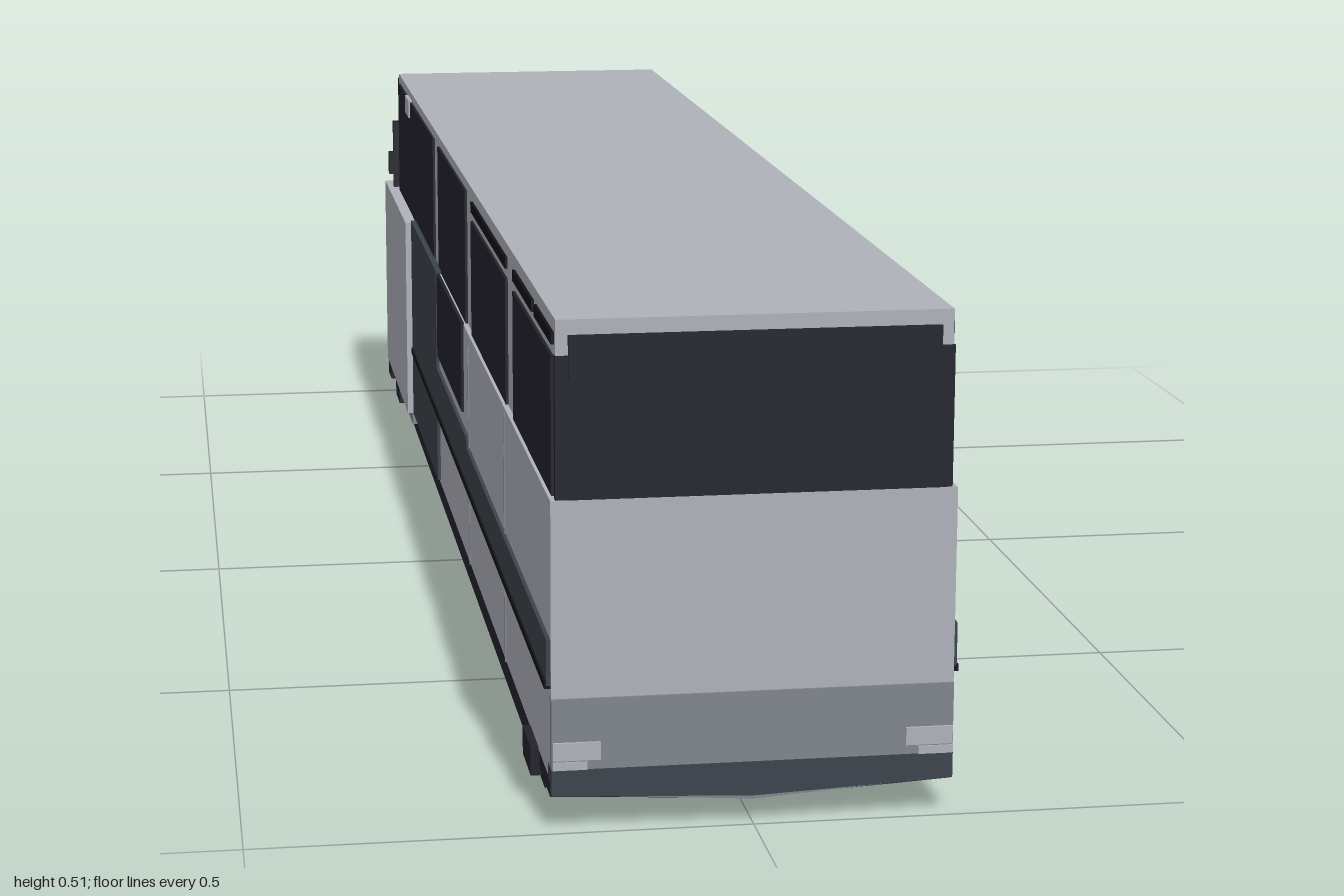
import * as THREE from 'three';

const mat = (name, color) => {
  const m = new THREE.MeshStandardMaterial({ color });
  m.name = name;
  return m;
};

export function createModel() {
  const root = new THREE.Group();
  root.name = 'coach';
  const silver = mat('silver', 0xaeb1b9);
  const glass = mat('darkGlass', 0x22222c);
  const slate = mat('slate', 0x3c434c);
  const grey = mat('midGrey', 0x80848d);
  const black = mat('black', 0x121217);

  // Box given by its limits on each axis
  const box = (name, m, x0, x1, y0, y1, z0, z1) => {
    const g = new THREE.BoxGeometry(x1 - x0, y1 - y0, z1 - z0);
    const mesh = new THREE.Mesh(g, m);
    mesh.position.set((x0 + x1) / 2, (y0 + y1) / 2, (z0 + z1) / 2);
    mesh.name = name;
    root.add(mesh);
    return mesh;
  };
  // Same box on both sides
  const pair = (name, m, x0, x1, ...r) => {
    box(name + 'Left', m, x0, x1, ...r);
    box(name + 'Right', m, -x1, -x0, ...r);
  };

  // Main body and roof
  box('lowerBody', silver, -0.2, 0.2, 0.05, 0.334, -0.98, 0.99);
  box('upperBody', silver, -0.194, 0.194, 0.334, 0.51, -0.92, 0.99);

  // Rear engine cover and the dark rear cabin
  box('rearCover', silver, -0.212, 0.212, 0.055, 0.335, -0.995, -0.6);
  box('rearCabin', glass, -0.19, 0.19, 0.335, 0.495, -0.995, -0.935);
  box('rearGap', silver, -0.188, 0.188, 0.335, 0.49, -0.935, -0.92);
  pair('rearVent', glass, 0.19, 0.203, 0.335, 0.435, -0.945, -0.93);
  pair('rearVentCap', glass, 0.198, 0.21, 0.355, 0.388, -0.945, -0.93);

  // Side windows: front z, rear z, bottom, top
  for (const [z1, z0, y0, y1] of [
    [0.978, 0.65, 0.335, 0.473], [0.58, 0.205, 0.335, 0.473],
    [0.135, -0.235, 0.335, 0.498], [-0.305, -0.9, 0.335, 0.498],
  ]) pair('sideWindow', glass, 0.193, 0.197, y0, y1, z0, z1);
  pair('doorWindow', glass, 0.199, 0.203, 0.225, 0.335, -0.235, 0.135);

  // Gutter slots above the windows
  for (const [z1, z0] of [[0.98, 0.84], [0.82, 0.65], [0.58, 0.205]])
    pair('gutterSlot', black, 0.193, 0.197, 0.484, 0.496, z0, z1);
  pair('windowTab', silver, 0.194, 0.199, 0.475, 0.5, -0.745, -0.68);

  // Side stripe and the slate panel
  pair('frontStripe', slate, 0.199, 0.204, 0.148, 0.195, 0.2, 0.99);
  pair('middleStripe', slate, 0.199, 0.204, 0.142, 0.207, -0.2, 0.2);
  pair('stripeLine', black, 0.2, 0.206, 0.145, 0.152, -0.6, 0.99);
  pair('slatePanel', slate, 0.196, 0.204, 0.055, 0.338, -0.6, -0.2);
  for (const z of [0.2, 0.595]) pair('panelSeam', grey, 0.199, 0.2015, 0.05, 0.33, z - 0.002, z + 0.002);

  // Windscreen
  box('windscreen', glass, -0.182, 0.182, 0.334, 0.495, 0.985, 0.994);
  box('windscreenWide', glass, -0.195, 0.195, 0.334, 0.475, 0.984, 0.993);

  // Front apron and headlights
  box('frontFace', silver, -0.2, 0.2, 0.13, 0.334, 0.985, 0.995);
  box('frontApron', grey, -0.2, 0.2, 0.064, 0.136, 0.985, 0.997);
  pair('headlight', silver, 0.152, 0.199, 0.074, 0.092, 0.99, 1);
  pair('lowerLamp', silver, 0.165, 0.199, 0.064, 0.072, 0.99, 0.999);

  // Bumper layers whose lower edge dips at the centre
  const bumper = (name, m, top, side, mid, half, z0, z1) => {
    const s = new THREE.Shape();
    s.moveTo(-half, top);
    s.lineTo(-half, side);
    s.lineTo(0, mid);
    s.lineTo(half, side);
    s.lineTo(half, top);
    const g = new THREE.ExtrudeGeometry(s, { depth: z1 - z0, bevelEnabled: false });
    const mesh = new THREE.Mesh(g, m);
    mesh.position.z = z0;
    mesh.name = name;
    root.add(mesh);
  };
  bumper('frontBumper', slate, 0.064, 0.038, 0.029, 0.2, 0.97, 0.998);
  bumper('bumperTrim', grey, 0.045, 0.036, 0.025, 0.16, 0.97, 0.996);
  bumper('frontLip', glass, 0.05, 0.033, 0.022, 0.2, 0.9, 0.985);
  bumper('rearLip', glass, 0.055, 0.04, 0.03, 0.208, -0.998, -0.9);

  // Underframe, shallow at the ends
  box('underframe', glass, -0.195, 0.195, 0.012, 0.052, -0.89, 0.9);
  box('underTray', glass, -0.185, 0.185, 0.0, 0.013, -0.88, 0.88);
  pair('rearSill', grey, 0.195, 0.205, 0.038, 0.056, -0.96, -0.6);
  for (const z of [0.855, -0.845]) {
    pair('wheelBlock', glass, 0.19, 0.208, 0.022, 0.052, z - 0.035, z + 0.035);
  }
  pair('cornerFoot', glass, 0.19, 0.21, 0.03, 0.05, -0.998, -0.95);

  // Tail lamps and rear step
  pair('tailLamp', slate, 0.14, 0.19, 0.125, 0.148, -0.999, -0.99);
  pair('tailLampLens', grey, 0.145, 0.185, 0.13, 0.143, -1, -0.99);
  box('rearStep', slate, -0.05, 0.05, 0.04, 0.068, -1, -0.97);

  return root;
}
